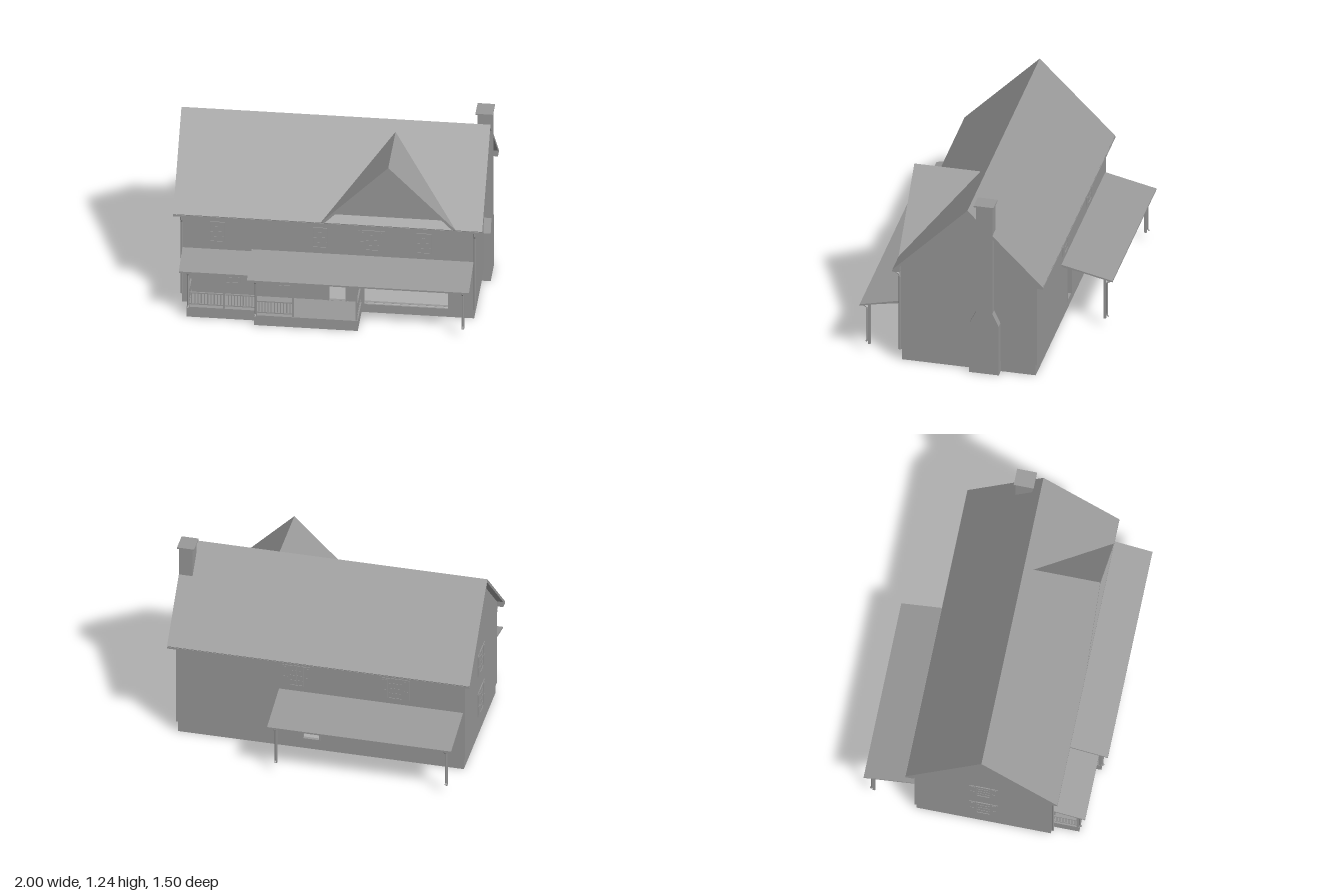
import * as THREE from 'three';

const grey = new THREE.MeshStandardMaterial({ color: 0x999999, flatShading: true, side: THREE.DoubleSide });

function add(parent, name, geometry) {
  const m = new THREE.Mesh(geometry, grey);
  m.name = name;
  parent.add(m);
  return m;
}

// Box given by its limits on each axis
function box(parent, name, x0, x1, y0, y1, z0, z1) {
  const m = add(parent, name, new THREE.BoxGeometry(x1 - x0, y1 - y0, z1 - z0));
  m.position.set((x0 + x1) / 2, (y0 + y1) / 2, (z0 + z1) / 2);
}

// Extrude an (x, y) outline from z0 to z1, with rectangular holes
function alongZ(parent, name, points, z0, z1, holes = []) {
  const s = new THREE.Shape(points.map(p => new THREE.Vector2(...p)));
  for (const [x0, x1, y0, y1] of holes)
    s.holes.push(new THREE.Path([[x0, y0], [x0, y1], [x1, y1], [x1, y0]].map(p => new THREE.Vector2(...p))));
  const g = new THREE.ExtrudeGeometry(s, { depth: z1 - z0, bevelEnabled: false });
  g.translate(0, 0, z0);
  return add(parent, name, g);
}

// Extrude a (z, y) outline from x0 to x1
function alongX(parent, name, points, x0, x1) {
  const m = alongZ(parent, name, points.map(([z, y]) => [-z, y]), x0, x1);
  m.geometry.rotateY(Math.PI / 2);
}

function pipe(parent, name, points, r = 0.007) {
  const path = new THREE.CurvePath();
  const v = points.map(p => new THREE.Vector3(...p));
  for (let i = 1; i < v.length; i++) path.add(new THREE.LineCurve3(v[i - 1], v[i]));
  add(parent, name, new THREE.TubeGeometry(path, 24, r, 6));
}

// Window facing +z with its centre at the origin; the frame passes through the wall
function makeWindow(w, h, shutters) {
  const g = new THREE.Group();
  g.name = 'window';
  const t = 0.006, back = -0.023;
  box(g, 'windowPane', -w / 2, w / 2, -h / 2, h / 2, back + 0.002, 0.002);
  for (const s of [-1, 1]) {
    box(g, 'windowJamb', s * w / 2 - t / 2, s * w / 2 + t / 2, -h / 2, h / 2, back, t);
    box(g, 'windowRail', -w / 2, w / 2, s * h / 2 - t / 2, s * h / 2 + t / 2, back, t);
    if (!shutters) continue;
    const c = s * (w / 2 + 0.026);
    box(g, 'shutter', c - 0.021, c + 0.021, -h / 2, h / 2, 0, 0.004);
    for (const y of [-0.25, 0.25])
      box(g, 'shutterPanel', c - 0.013, c + 0.013, (y - 0.18) * h, (y + 0.18) * h, 0.003, 0.006);
  }
  box(g, 'mullion', -0.002, 0.002, -h / 2, h / 2, 0, 0.004);
  for (const y of [-h / 4, 0, h / 4]) box(g, 'muntin', -w / 2, w / 2, y - 0.002, y + 0.002, 0, 0.004);
  return g;
}

// Railing between two floor points
function railing(parent, x0, z0, x1, z1) {
  const g = new THREE.Group();
  g.name = 'railing';
  const len = Math.hypot(x1 - x0, z1 - z0);
  for (const y of [0.095, 0.178]) box(g, 'handrail', 0, len, y - 0.004, y + 0.004, -0.005, 0.005);
  const n = Math.round(len / 0.02);
  for (let i = 1; i < n; i++) {
    const x = len * i / n;
    box(g, 'baluster', x - 0.003, x + 0.003, 0.095, 0.178, -0.003, 0.003);
  }
  g.position.set(x0, 0, z0);
  g.rotation.y = -Math.atan2(z1 - z0, x1 - x0);
  parent.add(g);
}

function post(parent, x, z, y0, w = 0.016) {
  box(parent, 'porchPost', x - w / 2, x + w / 2, y0, 0.36, z - w / 2, z + w / 2);
}

// Lean-to roof with eave beam and closed ends
function porchRoof(parent, x0, x1, zWall, yWall, zEdge, yEdge) {
  alongX(parent, 'porchRoof', [[zWall, yWall], [zEdge, yEdge], [zEdge, yEdge - 0.011], [zWall, yWall - 0.011]], x0, x1);
  const zb = zEdge - Math.sign(zEdge) * 0.05;
  box(parent, 'porchBeam', x0 + 0.03, x1 - 0.03, yEdge - 0.014, yEdge + 0.004, zb - 0.009, zb + 0.009);
  for (const x of [x0 + 0.03, x1 - 0.042])
    alongX(parent, 'porchRoofEnd', [[zWall, yWall - 0.008], [zb, yEdge], [zb, yEdge - 0.012], [zWall, yWall - 0.036]], x, x + 0.012);
}

export function createModel() {
  const house = new THREE.Group();
  house.name = 'house';
  const L = -0.957, R = 0.942, F = 0.478, B = -0.419, T = 0.02, inset = 0.009;

  // Open-bottomed shell: foundation band, walls with openings, upper floor
  const door = [0, 0.105, 0.081, 0.33];
  const fl = L + inset, fr = R - inset;
  box(house, 'foundationBack', fl, fr, 0, 0.08, B + inset, B + T);
  box(house, 'foundationLeft', R - T, fr, 0, 0.08, B + inset, F - inset);
  box(house, 'foundationRight', fl, L + T, 0, 0.08, B + inset, F - inset);
  alongZ(house, 'foundationFront', [[fl, 0], [fr, 0], [fr, 0.08], [0.765, 0.08], [0.765, 0.06],
    [0.225, 0.06], [0.225, 0.08], [fl, 0.08]], F - T, F - inset);
  const wall = [[L, 0.08], [R, 0.08], [R, 0.69], [L, 0.69]];
  alongZ(house, 'frontWall', wall, F - T, F, [door, [0.225, 0.765, 0.081, 0.31]]);
  alongZ(house, 'backWall', wall, B, B + T, [door]);
  const gable = [[F, 0.08], [F, 0.716], [0.026, 1.172], [B, 0.724], [B, 0.08]];
  alongX(house, 'gableWall', gable, R - T, R);
  alongX(house, 'gableWall', gable, L, L + T);
  box(house, 'upperFloor', L + T, R - T, 0.45, 0.46, B + T, F - T);

  // Main roof with boxed eaves, and gutters
  alongX(house, 'mainRoof', [[0.52, 0.69], [0.026, 1.192], [-0.47, 0.69], [-0.466, 0.675], [B + 0.005, 0.675],
    [B + 0.005, 0.719], [0.026, 1.166], [F - 0.005, 0.714], [F - 0.005, 0.675], [0.516, 0.675]], -1, 0.99);
  for (const z of [0.517, -0.467]) box(house, 'gutter', -1, 0.99, 0.674, 0.686, z - 0.005, z + 0.005);

  // Front cross gable
  const cx = 0.385;
  alongZ(house, 'crossGableRoof', [[cx - 0.435, 0.69], [cx, 1.133], [cx + 0.435, 0.69], [cx + 0.41, 0.69], [cx, 1.107], [cx - 0.41, 0.69]], 0.085, 0.52);
  alongZ(house, 'crossGableWall', [[cx - 0.41, 0.69], [cx + 0.41, 0.69], [cx, 1.115]], F - T, F);

  // Chimney with tapered shoulders outside the wall, and a deeper stack above the eaves
  alongX(house, 'chimneyBase', [[0.015, 0], [0.015, 0.36], [-0.03, 0.45], [-0.03, 0.7], [-0.138, 0.7], [-0.138, 0.45],
    [-0.18, 0.36], [-0.18, 0]], fr - 0.004, 0.99);
  box(house, 'chimneyStack', 0.9, 0.99, 0.7, 1.232, -0.138, -0.03);
  box(house, 'chimneyCap', 0.888, 1, 1.23, 1.24, -0.148, -0.018);

  // Windows: wall angle, position, height, shutters
  const windows = [
    [0, -0.72, 0.55, F, 0.145], [0, -0.06, 0.55, F, 0.145], [0, 0.28, 0.55, F, 0.145, true], [0, 0.61, 0.55, F, 0.145],
    [0, -0.62, 0.25, F, 0.16], [0, -0.28, 0.25, F, 0.16],
    [Math.PI, 0.15, 0.56, B, 0.15, true], [Math.PI, -0.5, 0.56, B, 0.15, true],
    [Math.PI, -0.28, 0.26, B, 0.18, true], [Math.PI, -0.62, 0.26, B, 0.18, true],
    [-Math.PI / 2, L, 0.56, 0.03, 0.16, true], [-Math.PI / 2, L, 0.26, 0.03, 0.18, true],
  ];
  for (const [angle, x, y, z, h, shutters] of windows) {
    const w = makeWindow(0.09, h, shutters);
    w.rotation.y = angle;
    w.position.set(x, y, z);
    house.add(w);
  }

  // Door frames and carriage opening trim
  for (const [x0, x1, y1, z] of [[0, 0.105, 0.33, F], [0, 0.105, 0.33, B], [0.225, 0.765, 0.31, F]]) {
    for (const x of [x0 - 0.01, x1]) box(house, 'doorJamb', x, x + 0.01, 0.08, y1, z - 0.005, z + 0.005);
    box(house, 'doorHead', x0 - 0.01, x1 + 0.01, y1, y1 + 0.01, z - 0.005, z + 0.005);
  }

  // Front porch: stepped floor, two roofs, posts and railings
  box(house, 'porchFloor', -0.9, -0.46, 0, 0.075, F - inset, 0.645);
  box(house, 'porchFloor', -0.46, 0.208, 0, 0.075, F - inset, 0.7);
  porchRoof(house, -0.945, -0.5, F, 0.417, 0.692, 0.367);
  porchRoof(house, -0.5, 0.93, F, 0.432, 0.75, 0.367);
  for (const [x, z, w] of [[-0.89, 0.635, 0.016], [-0.66, 0.635, 0.012], [-0.45, 0.69, 0.016], [-0.21, 0.69, 0.012], [0.198, 0.69, 0.012]])
    post(house, x, z, 0.075, w);
  post(house, 0.885, 0.695, 0.06);
  railing(house, -0.89, 0.635, -0.66, 0.635);
  railing(house, -0.65, 0.635, -0.46, 0.635);
  railing(house, -0.45, 0.69, -0.21, 0.69);
  railing(house, -0.89, 0.635, -0.89, F);
  railing(house, 0.198, 0.69, 0.198, F);

  // Back porch
  porchRoof(house, -0.945, 0.265, B, 0.442, -0.755, 0.367);
  for (const x of [-0.9, 0.22]) post(house, x, -0.695, 0.06);

  // Downspouts on the front corners and porch posts
  for (const x of [L + 0.007, R - 0.004])
    pipe(house, 'downspout', [[x, 0.675, 0.515], [x, 0.65, 0.515], [x, 0.63, F + 0.006], [x, 0.075, F + 0.006]]);
  for (const [x, z, edge] of [[-0.89, 0.648, 0.685], [-0.45, 0.704, 0.742], [0.885, 0.709, 0.742], [-0.9, -0.709, -0.747], [0.22, -0.709, -0.747]])
    pipe(house, 'porchDownspout', [[x, 0.36, edge], [x, 0.345, edge], [x, 0.325, z], [x, 0.085, z], [x, 0.075, z + Math.sign(z) * 0.01]], 0.006);

  return house;
}
